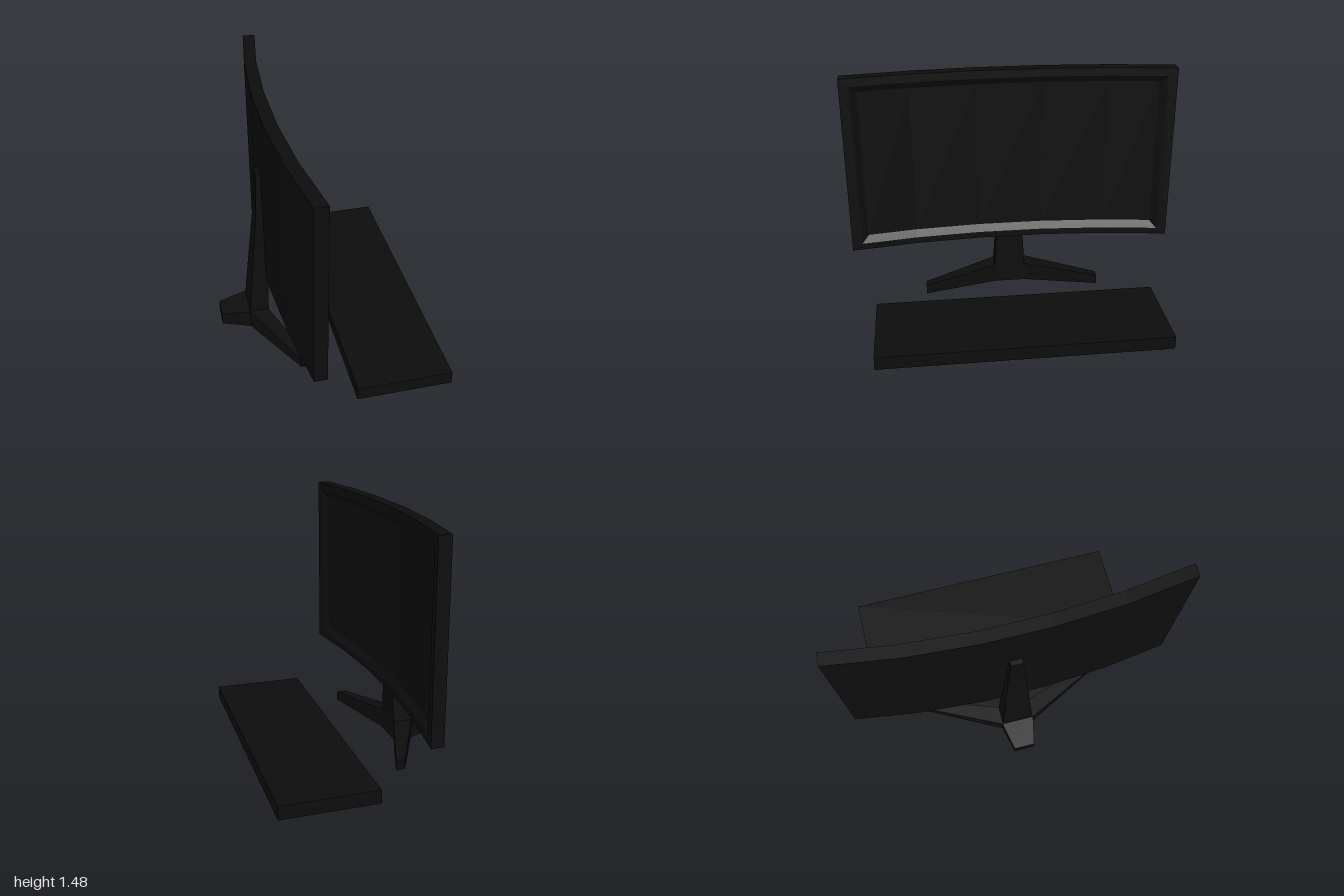
import * as THREE from 'three';

const material = new THREE.MeshStandardMaterial({ color: 0x0d0d0d, flatShading: true });

// Joins rings of points (counterclockwise seen from the far end) and caps both ends.
function loft(name, rings) {
  const pos = [];
  const quad = (a, b, c, d) => pos.push(...a, ...b, ...c, ...a, ...c, ...d);
  const n = rings[0].length;
  for (let r = 0; r + 1 < rings.length; r++) {
    for (let i = 0; i < n; i++) {
      const j = (i + 1) % n;
      quad(rings[r][i], rings[r][j], rings[r + 1][j], rings[r + 1][i]);
    }
  }
  const first = rings[0], last = rings[rings.length - 1];
  for (let i = 0; i < n / 2 - 1; i++) {
    const k = n - 1 - i;
    quad(last[i], last[i + 1], last[k - 1], last[k]);
    quad(first[k], first[k - 1], first[i + 1], first[i]);
  }
  const geometry = new THREE.BufferGeometry();
  geometry.setAttribute('position', new THREE.Float32BufferAttribute(pos, 3));
  geometry.computeVertexNormals();
  const mesh = new THREE.Mesh(geometry, material);
  mesh.name = name;
  return mesh;
}

// Back surface of the curved panel: five straight facets.
function panelX(z) {
  const a = Math.abs(z);
  if (a <= 0.2) return -0.325;
  if (a <= 0.6) return -0.325 + (a - 0.2) * 0.07;
  return -0.297 + (a - 0.6) * 0.1425;
}

// Rectangular outline that follows the panel's curve.
function panelRing(halfWidth, y0, y1, offset) {
  const zs = [halfWidth, 0.6, 0.2, -0.2, -0.6, -halfWidth];
  const row = (y) => zs.map((z) => [panelX(z) + offset, y, z]);
  return [...row(y0), ...row(y1).reverse()];
}

export function createModel() {
  const model = new THREE.Group();

  // Curved screen with a raised rim and a bevelled, recessed display
  model.add(loft('curvedScreen', [
    panelRing(1, 0.37, 1.475, 0),
    panelRing(1, 0.37, 1.475, 0.075),
    panelRing(0.94, 0.41, 1.425, 0.075),
    panelRing(0.9, 0.455, 1.385, 0.05),
  ]));

  // Tapering stand column
  const columnRing = (y, back, front, h) =>
    [[back, y, -h], [back, y, h], [front, y, h], [front, y, -h]];
  model.add(loft('standColumn', [
    columnRing(0.11, -0.437, -0.32, 0.1),
    columnRing(0.83, -0.365, -0.3, 0.053),
    columnRing(1.08, -0.355, -0.3, 0.036),
  ]));

  // Hub and rear foot
  const hubRing = (x, h, y0, y1) =>
    [[x, y0, h], [x, y0, -h], [x, y1, -h], [x, y1, h]];
  model.add(loft('hubAndRearFoot', [
    hubRing(-0.61, 0.065, 0.025, 0.1),
    hubRing(-0.437, 0.103, 0, 0.12),
    hubRing(-0.32, 0.103, 0, 0.12),
  ]));

  // Two mirrored front legs
  const legRing = (z, back, front, y0, y1) =>
    [[back, y0, z], [front, y0, z], [front, y1, z], [back, y1, z]];
  const leg = [
    legRing(0.103, -0.437, -0.32, 0, 0.12),
    legRing(0.555, -0.212, -0.157, 0.033, 0.092),
  ];
  model.add(loft('leftFrontLeg', leg));
  model.add(loft('rightFrontLeg',
    leg.map((ring) => ring.map(([x, y, z]) => [x, y, -z]).reverse())));

  // Keyboard slab
  const keyboard = new THREE.Mesh(new THREE.BoxGeometry(0.565, 0.08, 1.73), material);
  keyboard.name = 'keyboard';
  keyboard.position.set(0.328, 0.062, 0);
  model.add(keyboard);

  return model;
}
